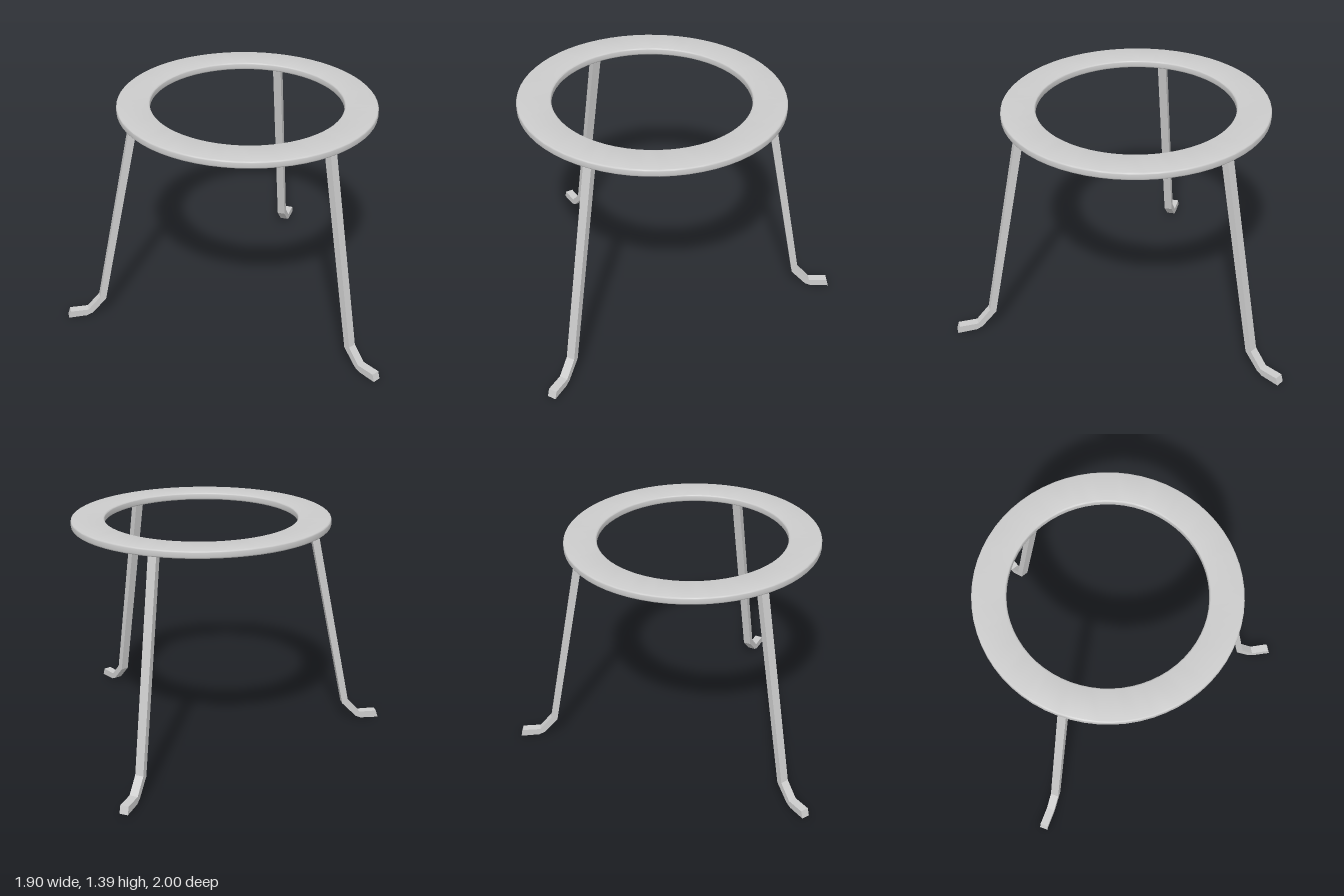
import * as THREE from 'three';
import { toCreasedNormals } from 'three/addons/utils/BufferGeometryUtils.js';

const material = new THREE.MeshStandardMaterial({ color: 0xcccccc });
const v2 = ([x, y]) => new THREE.Vector2(x, y);

// Flat annular top with softly eased edges
function makeRing() {
  const inner = 0.569, outer = 0.765, bottom = 1.345, top = 1.388, e = 0.009;
  const profile = [];
  const corner = (r, y, start) => {
    for (let i = 0; i <= 3; i++) {
      const a = start + (i / 3) * Math.PI / 2;
      profile.push(v2([r + e * Math.cos(a), y + e * Math.sin(a)]));
    }
  };
  corner(outer - e, bottom + e, -Math.PI / 2);
  corner(outer - e, top - e, 0);
  corner(inner + e, top - e, Math.PI / 2);
  corner(inner + e, bottom + e, Math.PI);
  profile.push(profile[0].clone());
  const geometry = toCreasedNormals(new THREE.LatheGeometry(profile, 64), 0.65);
  const ring = new THREE.Mesh(geometry, material);
  ring.name = 'ringTop';
  return ring;
}

// Splayed flat-bar leg with a bent foot, drawn as (radius, height)
function makeLegGeometry() {
  const width = 0.05;
  const outline = [
    [1.139, 0], [1.125, 0.045], [1.013, 0.045], [0.935, 0.131],
    [0.689, 1.35], [0.643, 1.35], [0.898, 0.113], [0.99, 0.018], [1.025, 0.003],
  ];
  const geometry = new THREE.ExtrudeGeometry(new THREE.Shape(outline.map(v2)), {
    depth: width, bevelEnabled: false,
  });
  return geometry.translate(0, 0, -width / 2);
}

export function createModel() {
  const model = new THREE.Group();
  model.name = 'tripodStand';
  model.add(makeRing());

  // Three legs spaced evenly around the ring
  const legGeometry = makeLegGeometry();
  ['rightLeg', 'frontLeg', 'backLeg'].forEach((name, i) => {
    const leg = new THREE.Mesh(legGeometry, material);
    leg.name = name;
    leg.rotation.y = Math.PI + i * Math.PI * 2 / 3;
    model.add(leg);
  });

  // Offset so the overall footprint is centred
  model.children.forEach((part) => { part.position.x = 0.185; });
  return model;
}
